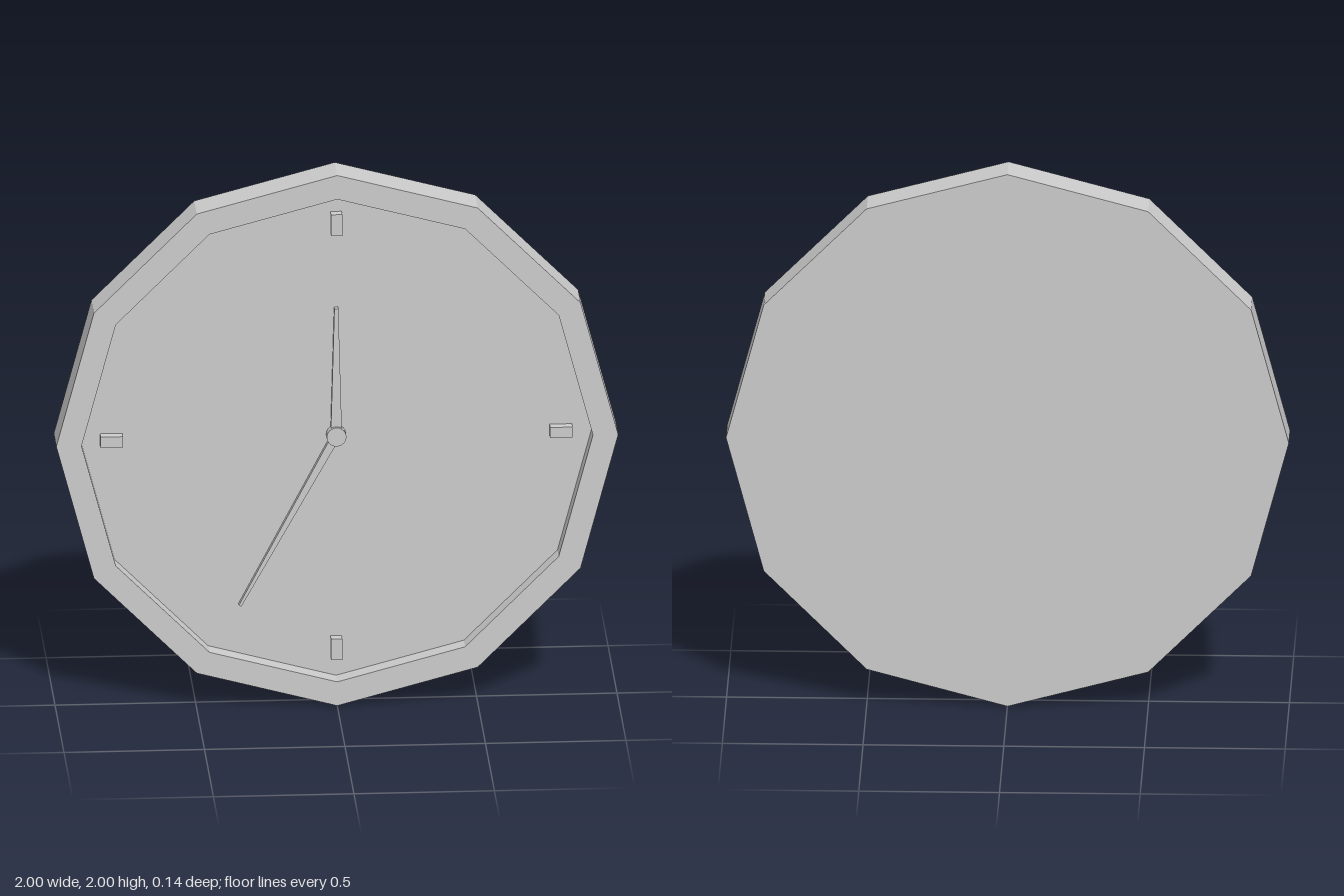
import * as THREE from 'three';

const material = new THREE.MeshStandardMaterial({ color: 0xcccccc, flatShading: true });
const SIDES = 12, OUTER = 1, INNER = 0.91, HALF_DEPTH = 0.07;

// Corners of the regular polygon used by the case and its recess
function polygon(radius) {
  return Array.from({ length: SIDES }, (_, i) => {
    const a = (i / SIDES) * Math.PI * 2;
    return new THREE.Vector2(Math.cos(a) * radius, Math.sin(a) * radius);
  });
}

// Extrudes a flat shape from z0 to z1
function slab(name, shape, z0, z1) {
  const geometry = new THREE.ExtrudeGeometry(shape, { depth: z1 - z0, bevelEnabled: false });
  geometry.translate(0, 0, z0);
  const mesh = new THREE.Mesh(geometry, material);
  mesh.name = name;
  return mesh;
}

// Tapered hand pointing up, then turned about the centre
function hand(name, length, baseWidth, tipWidth, angle) {
  const b = baseWidth / 2, t = tipWidth / 2;
  const shape = new THREE.Shape([
    new THREE.Vector2(-b, 0), new THREE.Vector2(b, 0),
    new THREE.Vector2(t, length), new THREE.Vector2(-t, length),
  ]);
  const mesh = slab(name, shape, 0, 0.022);
  mesh.rotation.z = angle;
  return mesh;
}

export function createModel() {
  const clock = new THREE.Group();
  clock.name = 'wallClock';
  const body = new THREE.Group();
  body.name = 'clockBody';
  body.position.y = 1;
  clock.add(body);

  // Case: solid back half with a raised rim around the recessed dial
  body.add(slab('caseBack', new THREE.Shape(polygon(OUTER)), -HALF_DEPTH, 0));
  const rim = new THREE.Shape(polygon(OUTER));
  rim.holes.push(new THREE.Path(polygon(INNER).reverse()));
  body.add(slab('rim', rim, 0, HALF_DEPTH));

  // Quarter-hour markers
  for (let i = 0; i < 4; i++) {
    const a = (i * Math.PI) / 2;
    const marker = new THREE.Mesh(new THREE.BoxGeometry(0.08, 0.04, 0.036), material);
    marker.name = 'hourMarker' + (i + 1);
    marker.position.set(Math.cos(a) * 0.8, Math.sin(a) * 0.8, 0.018);
    marker.rotation.z = a;
    body.add(marker);
  }

  // Hands
  body.add(hand('hourHand', 0.48, 0.04, 0.014, 0));
  body.add(hand('minuteHand', 0.72, 0.03, 0.01, Math.PI - 0.496));

  // Centre hub
  const hubMaterial = material.clone();
  hubMaterial.flatShading = false;
  const hub = new THREE.Mesh(new THREE.CylinderGeometry(0.035, 0.035, 0.034, 24), hubMaterial);
  hub.name = 'centreHub';
  hub.rotation.x = Math.PI / 2;
  hub.position.z = 0.017;
  body.add(hub);

  return clock;
}
